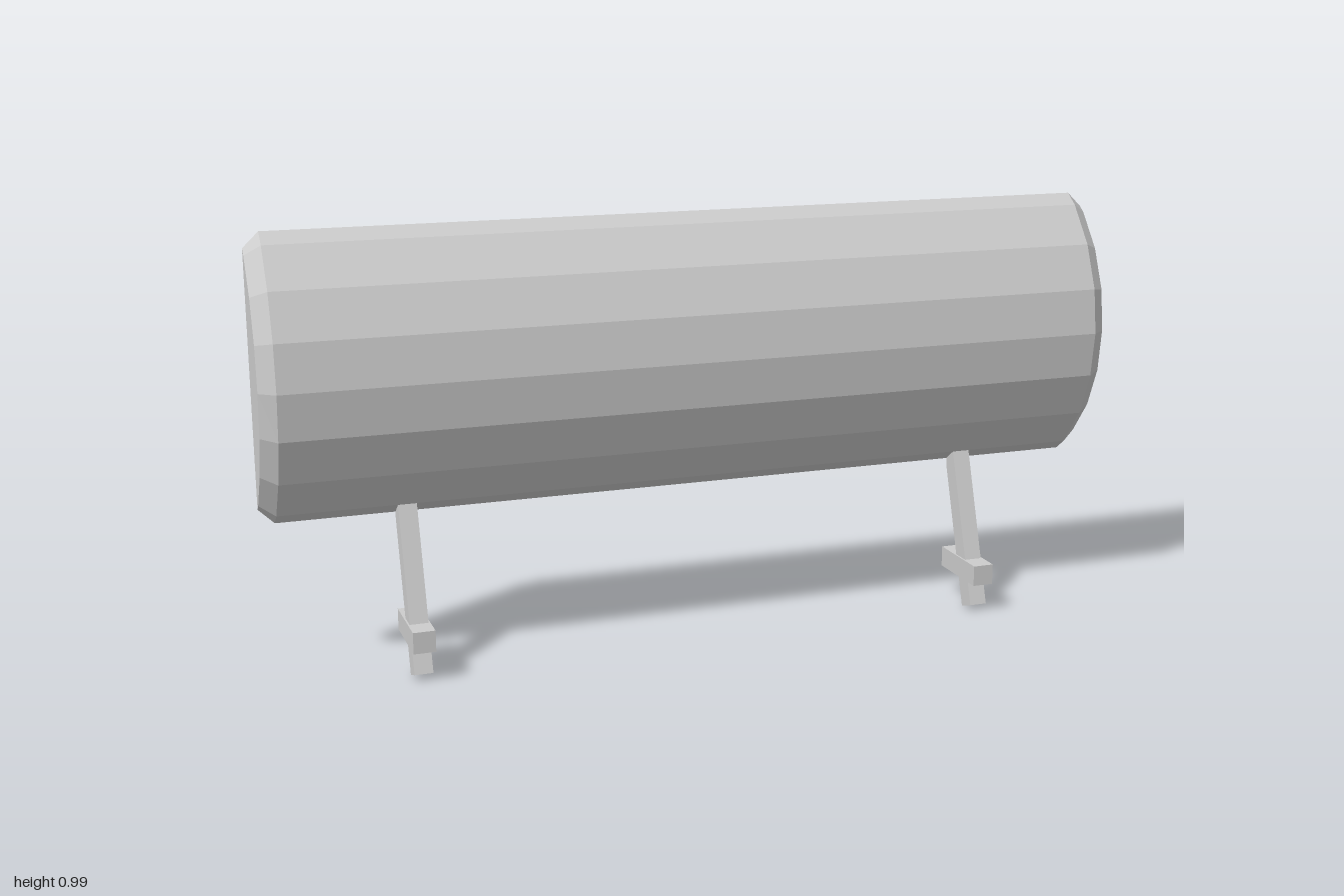
import * as THREE from 'three';

const BACK = -0.085; // plane where every part is cut open

// Lofts [z, y] profiles (listed top to bottom around the front) along x.
// Both ends are capped; the back stays open.
function loft(sections) {
  const pos = [];
  const put = (...pts) => pts.forEach((p) => pos.push(...p));
  const at = ({ x, pts }, i) => [x, pts[i][1], pts[i][0]];
  const n = sections[0].pts.length;
  const first = sections[0], last = sections[sections.length - 1];
  for (let s = 0; s < sections.length - 1; s++) {
    for (let i = 0; i < n - 1; i++) {
      const a = at(sections[s], i), b = at(sections[s], i + 1);
      const c = at(sections[s + 1], i + 1), d = at(sections[s + 1], i);
      put(a, b, c, a, c, d);
    }
  }
  for (let i = 1; i < n - 1; i++) {
    put(at(last, 0), at(last, i), at(last, i + 1));
    put(at(first, 0), at(first, i + 1), at(first, i));
  }
  const geo = new THREE.BufferGeometry();
  geo.setAttribute('position', new THREE.Float32BufferAttribute(pos, 3));
  geo.computeVertexNormals();
  return geo;
}

// Mirrors an upper half profile about the height of its last point
function mirrorProfile(half) {
  const mid = half[half.length - 1][1];
  const lower = half.slice(0, -1).reverse().map(([z, y]) => [z, 2 * mid - y]);
  return [...half, ...lower];
}

export function createModel() {
  const model = new THREE.Group();
  const grey = new THREE.MeshStandardMaterial({ color: 0xcccccc, flatShading: true, side: THREE.DoubleSide });
  grey.name = 'light grey';

  const add = (parent, name, geo) => {
    const mesh = new THREE.Mesh(geo, grey);
    mesh.name = name;
    parent.add(mesh);
  };

  // Curved shell with chamfered ends
  const outer = mirrorProfile([[BACK, 0.985], [-0.051, 0.96], [0.016, 0.873], [0.058, 0.771], [0.072, 0.666]]);
  const inner = mirrorProfile([[BACK, 0.951], [-0.068, 0.938], [-0.007, 0.859], [0.032, 0.765], [0.044, 0.666]]);
  add(model, 'shell', loft([
    { x: -1, pts: inner }, { x: -0.965, pts: outer },
    { x: 0.965, pts: outer }, { x: 1, pts: inner },
  ]));

  // Slanted legs, each with a short crossbar
  const legProfile = [[BACK, 0.473], [0.065, 0.015], [0.022, 0], [BACK, 0.331]];
  const barProfile = [[BACK, 0.12], [0.085, 0.12], [0.085, 0.071], [BACK, 0.071]];
  const prism = (pts, half) => loft([{ x: -half, pts }, { x: half, pts }]);
  for (const side of [-1, 1]) {
    const support = new THREE.Group();
    support.name = side > 0 ? 'leftSupport' : 'rightSupport';
    support.position.x = side * 0.68;
    add(support, 'leg', prism(legProfile, 0.021));
    add(support, 'crossbar', prism(barProfile, 0.025));
    model.add(support);
  }
  return model;
}
